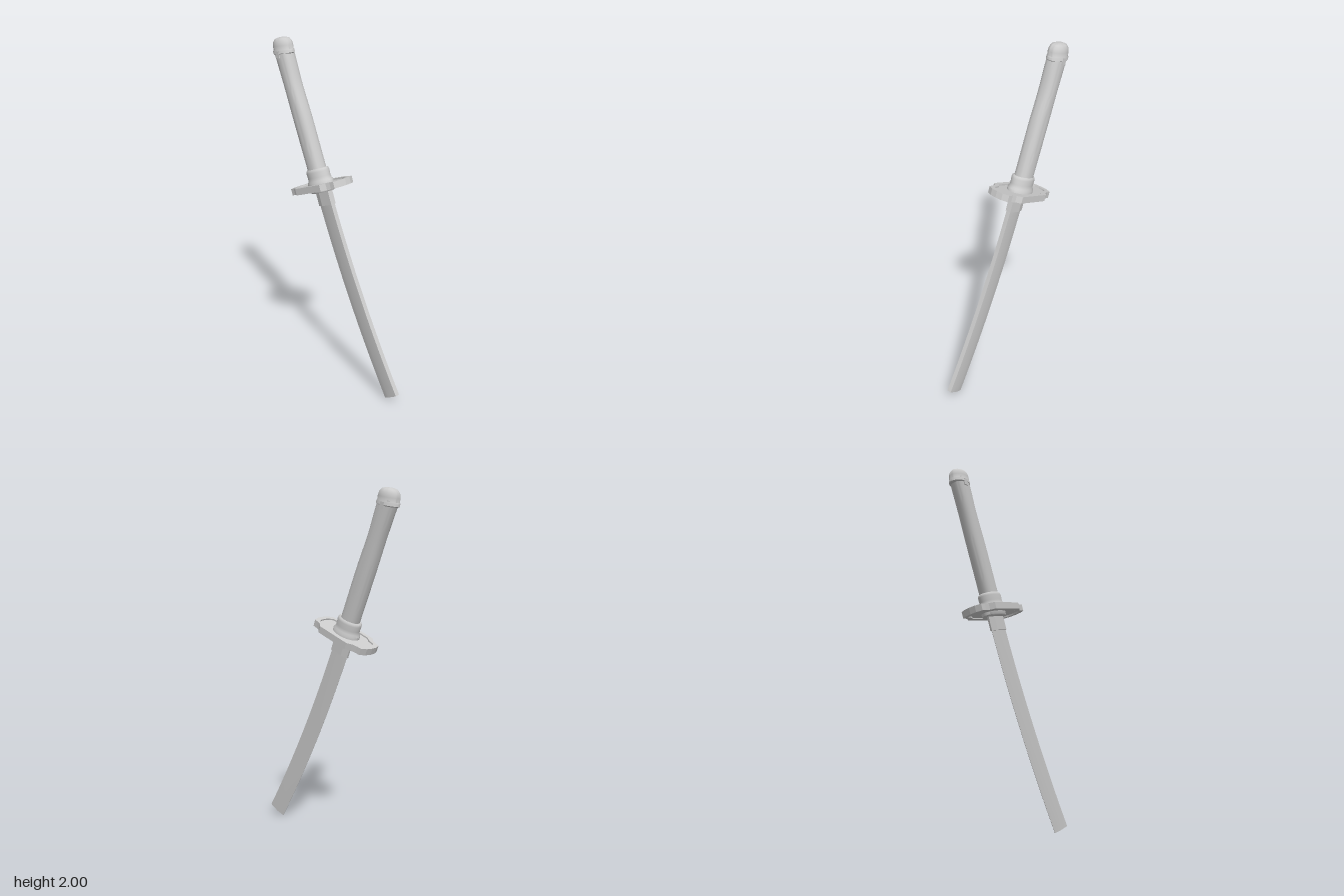
import * as THREE from 'three';
import { toCreasedNormals } from 'three/addons/utils/BufferGeometryUtils.js';

const material = new THREE.MeshStandardMaterial({ color: 0xcccccc });

function add(parent, name, geometry) {
  const mesh = new THREE.Mesh(geometry, material);
  mesh.name = name;
  parent.add(mesh);
  return mesh;
}

// Lathe squashed to an oval: profile of [radius, height], depth = z / x ratio
function oval(profile, depth) {
  const g = new THREE.LatheGeometry(profile.map(p => new THREE.Vector2(...p)), 32);
  g.scale(1, 1, depth);
  return toCreasedNormals(g, 0.7);
}

// Lobed guard outline, mirrored from one quarter
function guardPath(inset, Type) {
  const quarter = [[0.202, 0], [0.198, 0.04], [0.182, 0.075], [0.155, 0.078], [0.13, 0.086], [0.104, 0.111]];
  const kx = 1 - inset / 0.2, kz = 1 - inset / 0.111;
  const q = quarter.map(([x, z]) => [x * kx, z * kz]);
  const rev = q.slice().reverse();
  const pts = [
    ...q,
    ...rev.map(([x, z]) => [-x, z]),
    ...q.slice(1).map(([x, z]) => [-x, -z]),
    ...rev.slice(0, -1).map(([x, z]) => [x, -z]),
  ];
  return new Type(pts.map(p => new THREE.Vector2(...p)));
}

// Flat plate lying across the sword axis, centred on height 0
function plate(shape, thickness) {
  const g = new THREE.ExtrudeGeometry(shape, { depth: thickness, bevelEnabled: false });
  g.translate(0, 0, -thickness / 2);
  g.rotateX(-Math.PI / 2);
  return g;
}

// Curved blade lofted from a wedge cross-section with a flat spine
function bladeGeometry() {
  const section = [[0.053, 0.014], [0.053, -0.014], [-0.01, -0.013], [-0.054, -0.001], [-0.054, 0.001], [-0.01, 0.013]];
  const steps = 20, n = section.length, length = 1.205;
  const pos = [], idx = [];
  for (let i = 0; i <= steps; i++) {
    const u = i / steps;
    const tilt = Math.atan((0.03 + 0.18 * u) / length);
    for (const [w, z] of section) {
      pos.push(0.03 * u + 0.09 * u * u + w * Math.cos(tilt), -0.075 - length * u + w * Math.sin(tilt), z);
    }
  }
  for (let i = 0; i < steps; i++) {
    for (let j = 0; j < n; j++) {
      const a = i * n + j, b = i * n + (j + 1) % n;
      idx.push(a, a + n, b, b, a + n, b + n);
    }
  }
  const last = steps * n;
  for (let j = 1; j < n - 1; j++) {
    idx.push(0, j, j + 1, last, last + j + 1, last + j);
  }
  const g = new THREE.BufferGeometry();
  g.setAttribute('position', new THREE.Float32BufferAttribute(pos, 3));
  g.setIndex(idx);
  return toCreasedNormals(g, 0.35);
}

// Grip with flattened sides, a soft waist and a slight lean
function gripGeometry() {
  const g = new THREE.CylinderGeometry(1, 1, 1, 32, 24);
  const p = g.attributes.position;
  const flatten = v => Math.sign(v) * Math.abs(v) ** 0.8;
  for (let i = 0; i < p.count; i++) {
    const u = p.getY(i) + 0.5;
    const x = flatten(p.getX(i)), z = flatten(p.getZ(i));
    // Waist sits high on the spine side
    const waist = (x > 0 ? 0.008 : 0.003) * Math.exp(-(((u - 0.72) / 0.16) ** 2));
    p.setXYZ(i, x * (0.053 + 0.003 * u - waist) - 0.018 * u, 0.04 + 0.77 * u, z * 0.048);
  }
  g.computeVertexNormals();
  return toCreasedNormals(g, 0.7);
}

export function createModel() {
  const model = new THREE.Group();
  const sword = new THREE.Group();
  sword.name = 'sword';
  sword.position.set(-0.11, 1.19, -0.042);
  sword.rotation.set(0, -0.408, 0.358);
  model.add(sword);

  add(sword, 'blade', bladeGeometry());

  // Guard: thin plate inside a raised rim
  const rim = guardPath(0, THREE.Shape);
  rim.holes.push(guardPath(0.026, THREE.Path));
  add(sword, 'guardRim', plate(rim, 0.038));
  add(sword, 'guardPlate', plate(guardPath(0.02, THREE.Shape), 0.022));

  // Washer and blade collar below the guard
  add(sword, 'washer', oval([[0, -0.034], [0.078, -0.034], [0.084, -0.028], [0.084, 0], [0, 0]], 0.68));
  const collar = new THREE.Shape([
    [0.058, -0.018], [0.058, 0.018], [-0.02, 0.018], [-0.058, 0.006], [-0.058, -0.006], [-0.02, -0.018],
  ].map(p => new THREE.Vector2(...p)));
  add(sword, 'bladeCollar', plate(collar, 0.1)).position.y = -0.065;

  // Ferrule above the guard, with a rounded lip
  add(sword, 'ferrule', oval([
    [0, 0], [0.086, 0], [0.086, 0.026], [0.078, 0.036], [0.075, 0.055],
    [0.077, 0.085], [0.074, 0.097], [0.066, 0.103], [0.056, 0.098], [0.04, 0.094],
  ], 0.76));

  add(sword, 'grip', gripGeometry());

  // Pommel cap with a lip and small side tabs
  const pommel = new THREE.Group();
  pommel.name = 'pommel';
  pommel.position.set(-0.02, 0.785, 0);
  pommel.rotation.z = -0.18;
  sword.add(pommel);
  add(pommel, 'pommelCap', oval([
    [0, -0.012], [0.064, -0.012], [0.07, -0.007], [0.07, 0.007], [0.066, 0.012],
    [0.066, 0.035], [0.061, 0.057], [0.048, 0.073], [0.028, 0.08], [0, 0.082],
  ], 0.75));
  for (const side of [-1, 1]) {
    add(pommel, 'pommelTab', new THREE.BoxGeometry(0.026, 0.04, 0.012)).position.set(0, -0.012, side * 0.047);
  }
  return model;
}
